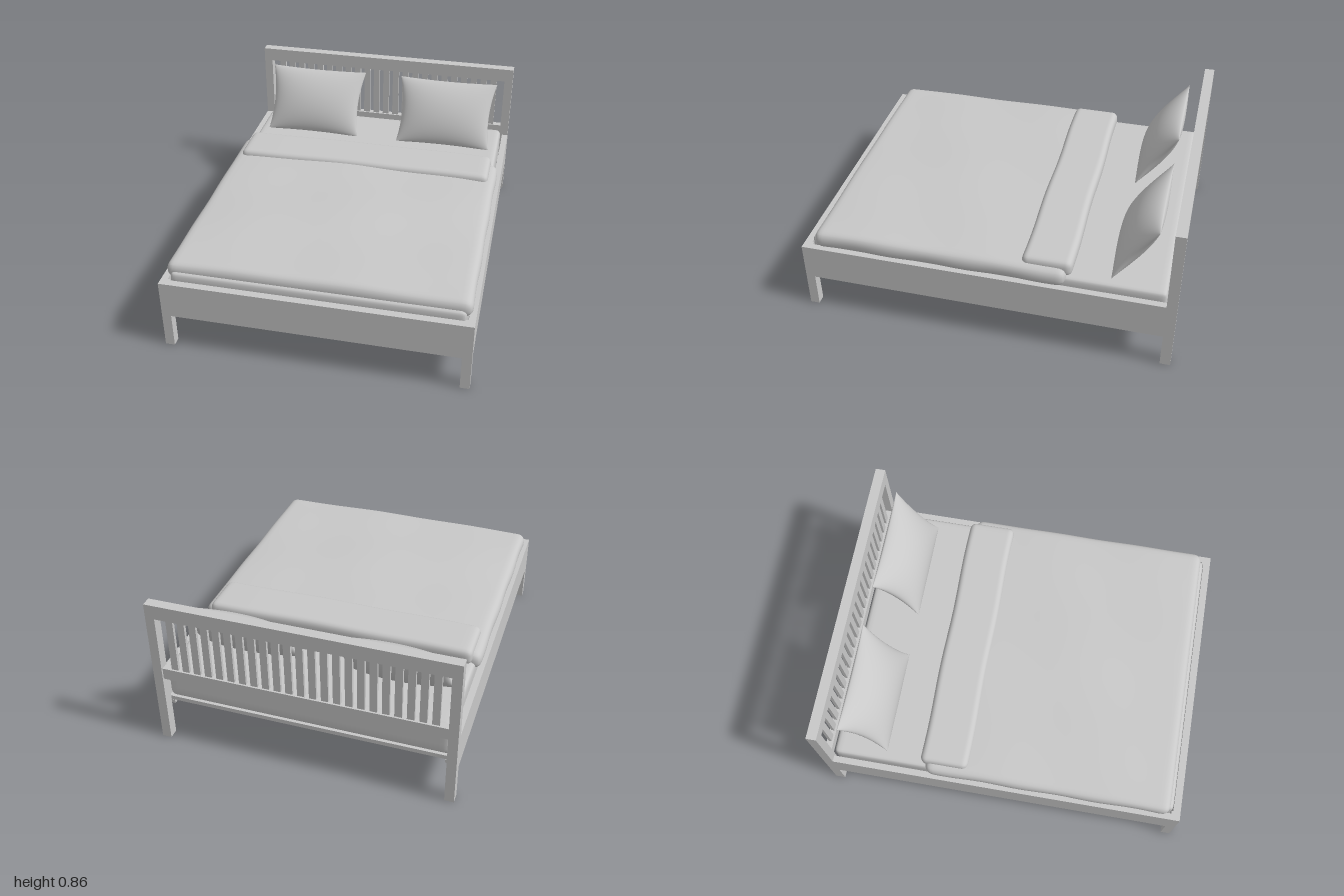
import * as THREE from 'three';
import { mergeVertices } from 'three/addons/utils/BufferGeometryUtils.js';

const plainGrey = new THREE.MeshStandardMaterial({ color: 0xc8c8c8 });

export function createModel() {
  const bed = new THREE.Group();
  bed.name = 'bed';

  const add = (name, geometry) => {
    const mesh = new THREE.Mesh(geometry, plainGrey);
    mesh.name = name;
    bed.add(mesh);
    return mesh;
  };

  // Box given by its minimum and maximum on each axis
  const block = (name, x0, x1, y0, y1, z0, z1) => {
    const mesh = add(name, new THREE.BoxGeometry(x1 - x0, y1 - y0, z1 - z0));
    mesh.position.set((x0 + x1) / 2, (y0 + y1) / 2, (z0 + z1) / 2);
  };

  // Weld a deformed geometry and give it smooth normals
  const smooth = (geometry) => {
    geometry.deleteAttribute('uv');
    geometry.deleteAttribute('normal');
    const welded = mergeVertices(geometry, 1e-4);
    welded.computeVertexNormals();
    return welded;
  };

  // Rounded cloth box, with an optional rule that moves each point
  const softBox = (name, x0, x1, y0, y1, z0, z1, r, rule) => {
    const half = new THREE.Vector3(x1 - x0, y1 - y0, z1 - z0).multiplyScalar(0.5);
    const centre = new THREE.Vector3(x0 + x1, y0 + y1, z0 + z1).multiplyScalar(0.5);
    const inner = half.clone().subScalar(r);
    const g = new THREE.BoxGeometry(2, 2, 2, 40, 10, 40);
    const pos = g.attributes.position;
    const p = new THREE.Vector3(), core = new THREE.Vector3();
    const ease = (u) => Math.sin(u * Math.PI / 2); // crowds points at the edges
    for (let i = 0; i < pos.count; i++) {
      p.fromBufferAttribute(pos, i);
      p.set(ease(p.x), ease(p.y), ease(p.z)).multiply(half);
      core.copy(p).clamp(inner.clone().negate(), inner);
      p.sub(core).setLength(r).add(core);
      const up = (p.y + half.y) / (2 * half.y);
      p.add(centre);
      if (rule) rule(p, up);
      pos.setXYZ(i, p.x, p.y, p.z);
    }
    add(name, smooth(g));
  };

  // Posts and rails, flush on the outside
  for (const s of [-1, 1]) {
    const side = s < 0 ? 'right' : 'left';
    const span = (a, b) => (s > 0 ? [a, b] : [-b, -a]);
    block(side + 'FrontLeg', ...span(0.755, 0.805), 0, 0.398, 0.95, 1);
    block(side + 'HeadPost', ...span(0.755, 0.805), 0, 0.855, -1, -0.945);
    block(side + 'SideRail', ...span(0.77, 0.805), 0.195, 0.398, -0.945, 0.95);
    block(side + 'SlatLedge', ...span(0.735, 0.77), 0.2, 0.222, -0.945, 0.96);
  }
  block('footRail', -0.755, 0.755, 0.195, 0.398, 0.96, 1);
  block('headTopRail', -0.755, 0.755, 0.775, 0.855, -1, -0.945);
  block('headLowerRail', -0.755, 0.755, 0.395, 0.46, -0.99, -0.952);

  // Upright headboard slats
  for (let i = -11; i <= 11; i++) {
    const x = i * 0.0625;
    block('headSlat', x - 0.019, x + 0.019, 0.46, 0.775, -0.98, -0.962);
  }

  // Mattress slats
  for (let i = 0; i < 18; i++) {
    const z = -0.905 + i * 0.1065;
    block('bedSlat', -0.765, 0.765, 0.222, 0.245, z - 0.038, z + 0.038);
  }

  // Mattress and bedding
  softBox('mattress', -0.76, 0.76, 0.245, 0.44, -0.943, 0.957, 0.03);
  softBox('duvet', -0.785, 0.785, 0.385, 0.485, -0.425, 0.937, 0.045, (p, up) => {
    const crown = Math.max(0, 1 - (p.x / 0.785) ** 2) * Math.max(0, 1 - ((p.z - 0.2) / 0.8) ** 2);
    const ripple = Math.sin(p.x * 7 + p.z * 4) * Math.sin(p.z * 6 - p.x * 3);
    p.y += up * (0.024 * crown + 0.004 * ripple);
    p.x += Math.sign(p.x) * (1 - up) * 0.004 * Math.sin(p.z * 15) * Math.min(1, Math.abs(p.x) * 2);
  });
  softBox('duvetFold', -0.742, 0.742, 0.425, 0.52, -0.452, -0.187, 0.035, (p, up) => {
    p.y += up * 0.006 * (1 - (p.x / 0.742) ** 2);
    p.z += 0.003 * Math.sin(p.x * 9);
  });

  // Pillows with pinched corners, leaning on the headboard
  for (const s of [-1, 1]) {
    const g = new THREE.BoxGeometry(2, 2, 2, 28, 24, 1);
    const pos = g.attributes.position;
    for (let i = 0; i < pos.count; i++) {
      const u = Math.sin(pos.getX(i) * Math.PI / 2), v = Math.sin(pos.getY(i) * Math.PI / 2);
      const a = Math.max(0, 1 - u * u), b = Math.max(0, 1 - v * v);
      pos.setXYZ(i,
        u * (0.302 - 0.024 * b - 0.012 * (1 - v) / 2),
        v * (0.205 - 0.008 * a),
        Math.sign(pos.getZ(i)) * 0.075 * Math.pow(a, 0.5) * Math.pow(b, 0.65));
    }
    const pillow = add(s < 0 ? 'rightPillow' : 'leftPillow', smooth(g));
    pillow.position.set(s * 0.415, 0.61, -0.76);
    pillow.rotation.x = -0.57;
  }

  return bed;
}
